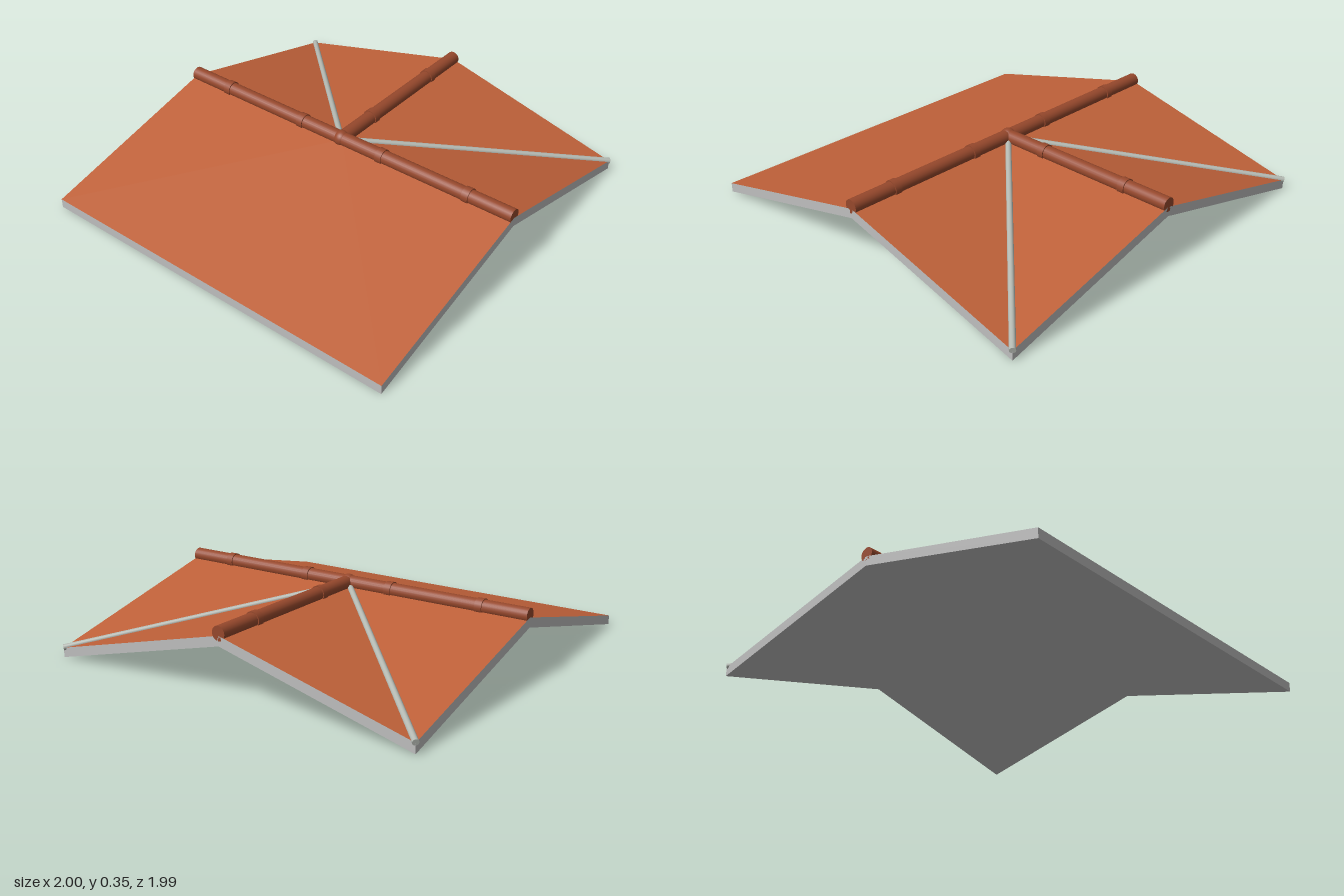
import * as THREE from 'three';

const H = 0.989;        // half width of the roof
const EAVE = 0.048;     // top surface at the eaves
const RIDGE = 0.296;    // top surface at the ridges
const THICK = 0.048;    // vertical slab thickness
const PIPE_Y = 0.306;   // ridge cap axis
const PIPE_R = 0.035;

const material = (name, color) => {
  const m = new THREE.MeshStandardMaterial({ color });
  m.name = name;
  return m;
};

function facetMesh(name, triangles, mat) {
  const geometry = new THREE.BufferGeometry().setFromPoints(triangles.flat());
  geometry.computeVertexNormals();
  const mesh = new THREE.Mesh(geometry, mat);
  mesh.name = name;
  return mesh;
}

// Cylinder running from one point to another
function rod(name, a, b, radius, mat, sides = 24) {
  const dir = b.clone().sub(a);
  const mesh = new THREE.Mesh(new THREE.CylinderGeometry(radius, radius, dir.length(), sides), mat);
  mesh.position.copy(a).add(b).multiplyScalar(0.5);
  mesh.quaternion.setFromUnitVectors(new THREE.Vector3(0, 1, 0), dir.normalize());
  mesh.name = name;
  return mesh;
}

export function createModel() {
  const terracotta = material('terracotta', 0xbf6139);
  const ridgeClay = material('ridge clay', 0x96482c);
  const grey = material('slab grey', 0xbebebe);
  const metal = material('valley metal', 0xb4b9b2);

  const model = new THREE.Group();
  model.name = 'tJunctionRoof';
  const V = (x, y, z) => new THREE.Vector3(x, y, z);

  // Roof slab: a fan around the junction of the three ridges
  const centre = V(0, RIDGE, 0);
  const rim = [
    V(-H, EAVE, H), V(H, EAVE, H), V(H, RIDGE, 0), V(H, EAVE, -H),
    V(0, RIDGE, -H), V(-H, EAVE, -H), V(-H, RIDGE, 0),
  ];
  const down = (p) => V(p.x, p.y - THICK, p.z);
  const tiles = [], underside = [], edges = [];
  rim.forEach((p, i) => {
    const q = rim[(i + 1) % rim.length];
    tiles.push([centre, p, q]);
    underside.push([down(centre), down(q), down(p)]);
    edges.push([p, down(p), down(q)], [p, down(q), q]);
  });
  model.add(
    facetMesh('roofTiles', tiles, terracotta),
    facetMesh('roofUnderside', underside, grey),
    facetMesh('roofEdge', edges, grey),
  );

  // Ridge caps with raised collars
  const along = {
    x: (t) => V(t, PIPE_Y, 0),
    z: (t) => V(0, PIPE_Y, t),
  };
  const ridge = (name, axis, from, to, collars) => {
    const group = new THREE.Group();
    group.name = name;
    group.add(rod('ridgeCap', along[axis](from), along[axis](to), PIPE_R, ridgeClay));
    for (const t of collars) {
      group.add(rod('ridgeCollar', along[axis](t - 0.018), along[axis](t + 0.018), 0.04, ridgeClay));
    }
    model.add(group);
  };
  ridge('mainRidge', 'x', -H, H, [-0.742, -0.247, 0.247, 0.742]);
  ridge('backRidge', 'z', -H, 0, [-0.742, -0.247]);

  // Ball joint where the ridges meet
  const joint = new THREE.Mesh(new THREE.SphereGeometry(0.041, 24, 16), ridgeClay);
  joint.position.set(0, PIPE_Y, 0);
  joint.name = 'ridgeJoint';
  model.add(joint);

  // Valley rods from the junction to the back corners
  for (const side of [-1, 1]) {
    model.add(rod(side > 0 ? 'leftValley' : 'rightValley',
      V(0, RIDGE + 0.002, 0), V(side * H, EAVE + 0.002, -H), 0.015, metal, 16));
  }

  model.position.z = 0.005;
  return model;
}
